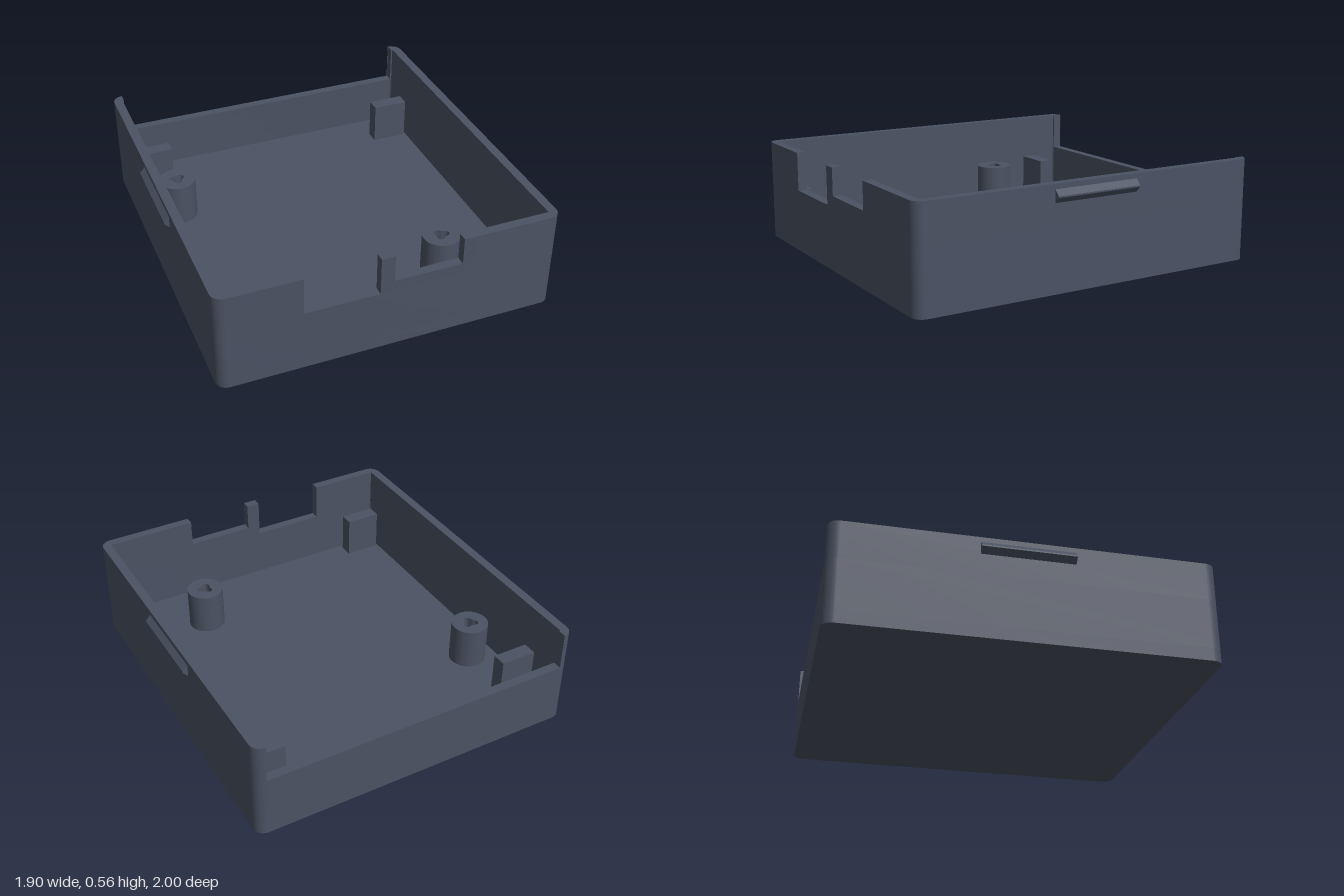
import * as THREE from 'three';
import { toCreasedNormals } from 'three/addons/utils/BufferGeometryUtils.js';

const W = 0.92, D = 1, R = 0.06;          // outer half width, half depth, corner radius
const IW = 0.87, ID = 0.95, IR = 0.012;   // inner cavity
const FLOOR = 0.07, LOW = 0.345, SILL = 0.405, TOP = 0.555, STAND = 0.305;

const plastic = new THREE.MeshStandardMaterial({ color: 0x4b5263 });
plastic.name = 'slate plastic';

// Rounded rectangle in plan
function roundedRect(shape, w, d, r) {
  shape.moveTo(-w + r, -d);
  shape.lineTo(w - r, -d);
  shape.absarc(w - r, -d + r, r, -Math.PI / 2, 0);
  shape.lineTo(w, d - r);
  shape.absarc(w - r, d - r, r, 0, Math.PI / 2);
  shape.lineTo(-w + r, d);
  shape.absarc(-w + r, d - r, r, Math.PI / 2, Math.PI);
  shape.lineTo(-w, -d + r);
  shape.absarc(-w + r, -d + r, r, Math.PI, Math.PI * 1.5);
  return shape;
}

// Extrude a plan shape (x, -z) upward from y0 to y1
function rise(shape, y0, y1) {
  const g = new THREE.ExtrudeGeometry(shape, { depth: y1 - y0, bevelEnabled: false, curveSegments: 8 });
  g.rotateX(-Math.PI / 2).translate(0, y0, 0);
  return toCreasedNormals(g, Math.PI / 6);
}

function box(x0, x1, y0, y1, z0, z1) {
  return new THREE.BoxGeometry(x1 - x0, y1 - y0, z1 - z0)
    .translate((x0 + x1) / 2, (y0 + y1) / 2, (z0 + z1) / 2);
}

// Upper side wall that wraps around both corners; s is the side sign
function sideWall(s, frontX, backX) {
  const p = new THREE.Shape();
  const corner = (w, d, r, sz) => p.quadraticCurveTo(s * w, sz * d, s * (sz < 0 ? w : w - r), sz * (sz < 0 ? d - r : d));
  p.moveTo(frontX, -D);
  p.lineTo(s * (W - R), -D);
  const arc = (cx, cy, r, a0, a1) => {
    for (let i = 0; i <= 8; i++) {
      const a = a0 + (a1 - a0) * i / 8;
      p.lineTo(s * (cx + r * Math.cos(a)), cy + r * Math.sin(a));
    }
  };
  arc(W - R, -D + R, R, -Math.PI / 2, 0);
  arc(W - R, D - R, R, 0, Math.PI / 2);
  p.lineTo(backX, D);
  p.lineTo(backX, ID);
  p.lineTo(s * IW, ID);
  p.lineTo(s * IW, -ID);
  p.lineTo(frontX, -ID);
  p.closePath();
  return rise(p, LOW, TOP);
}

// Screw post with a three-lobed bore
function screwPost(x, z, turn) {
  const shape = new THREE.Shape().absarc(0, 0, 0.102, 0, Math.PI * 2);
  const bore = [];
  for (let i = 0; i < 36; i++) {
    const a = i / 36 * Math.PI * 2;
    const r = 0.038 + 0.008 * Math.cos(3 * (a - turn));
    bore.push(new THREE.Vector2(r * Math.cos(a), r * Math.sin(a)));
  }
  shape.holes.push(new THREE.Path(bore));
  const g = new THREE.ExtrudeGeometry(shape, { depth: STAND - FLOOR, bevelEnabled: false, curveSegments: 32 });
  g.rotateX(-Math.PI / 2).translate(x, FLOOR, z);
  return toCreasedNormals(g, Math.PI / 6);
}

// Triangular snap ridge along a side
function snapRidge(s) {
  const p = new THREE.Shape();
  p.moveTo(s * (W - 0.005), 0.46);
  p.lineTo(s * W, 0.46);
  p.lineTo(s * 0.948, 0.49);
  p.lineTo(s * 0.948, 0.498);
  p.lineTo(s * W, 0.528);
  p.lineTo(s * (W - 0.005), 0.528);
  p.closePath();
  return new THREE.ExtrudeGeometry(p, { depth: 0.49, bevelEnabled: false }).translate(0, 0, -0.245);
}

export function createModel() {
  const model = new THREE.Group();
  model.name = 'enclosureBase';
  const add = (name, geometry) => {
    const mesh = new THREE.Mesh(geometry, plastic);
    mesh.name = name;
    model.add(mesh);
  };

  // Floor and the continuous lower wall
  add('floor', rise(roundedRect(new THREE.Shape(), W, D, R), 0, FLOOR));
  const ring = roundedRect(new THREE.Shape(), W, D, R);
  ring.holes.push(roundedRect(new THREE.Path(), IW, ID, IR));
  add('lowerWall', rise(ring, FLOOR, LOW));

  // Upper walls, leaving the back open and two notches in the front
  add('leftUpperWall', sideWall(1, 0.37, 0.862));
  add('rightUpperWall', sideWall(-1, -0.475, -0.862));
  add('frontDivider', box(-0.075, 0, LOW, TOP, ID, D));
  add('frontSill', box(0, 0.37, LOW, SILL, ID, D));

  // Snap ridges on both sides
  add('leftSnapRidge', snapRidge(1));
  add('rightSnapRidge', snapRidge(-1));

  // Screw posts and support blocks
  add('backScrewPost', screwPost(-0.712, -0.397, -Math.PI / 2));
  add('frontScrewPost', screwPost(0.445, 0.624, 0));
  for (const [name, x, z] of [
    ['backRightBlock', -0.757, -0.75],
    ['backLeftBlock', 0.757, -0.75],
    ['frontRightBlock', -0.757, 0.886],
  ]) add(name, box(x - 0.102, x + 0.102, FLOOR, STAND, z - 0.04, z + 0.04));

  return model;
}
